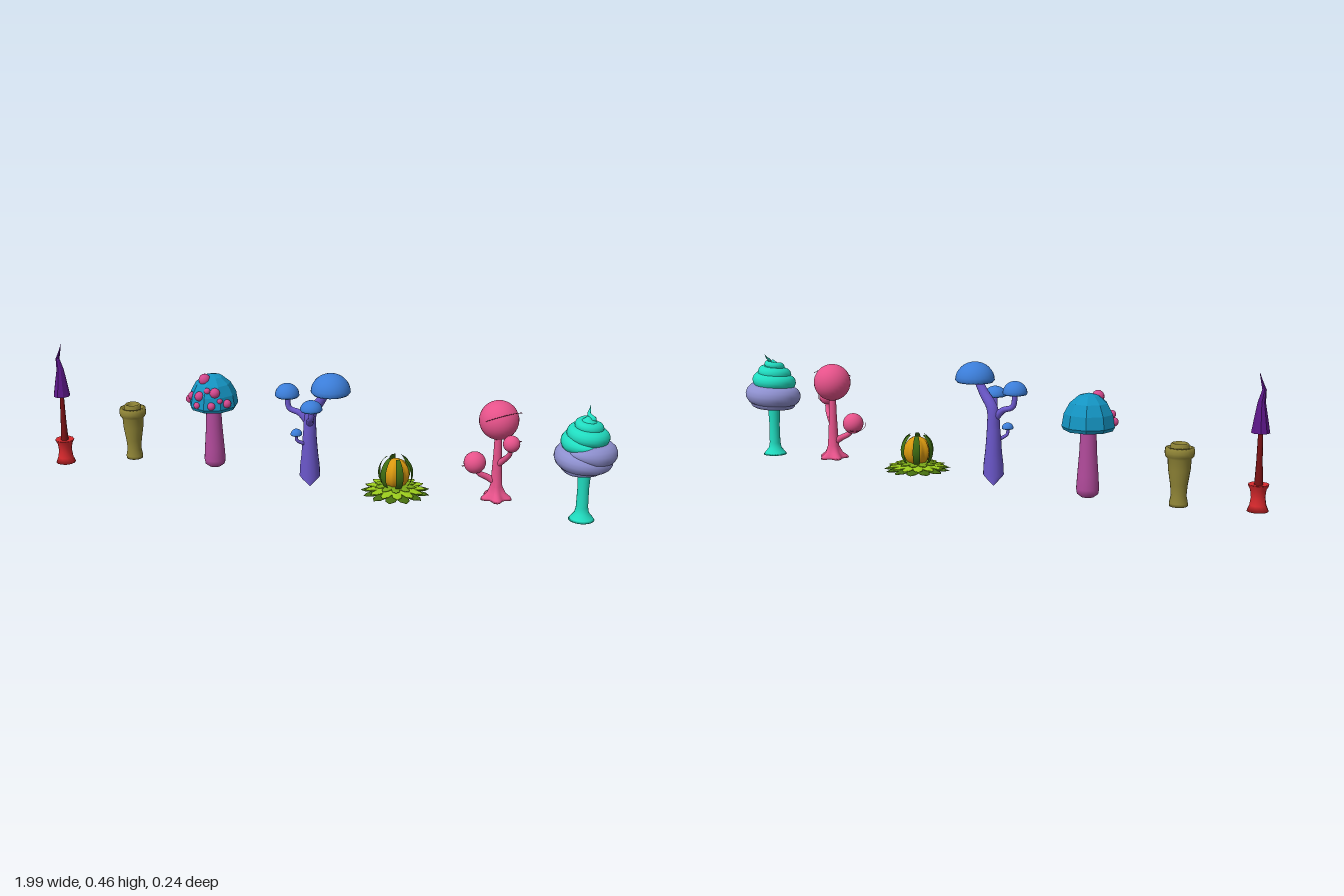
import * as THREE from 'three';

const V = (x, y, z) => new THREE.Vector3(x, y, z);
const TAU = Math.PI * 2;

function add(parent, name, geometry, color, flat = false, double = false) {
  const material = new THREE.MeshStandardMaterial({ color, flatShading: flat });
  if (double) material.side = THREE.DoubleSide;
  const mesh = new THREE.Mesh(geometry, material);
  mesh.name = name;
  parent.add(mesh);
  return mesh;
}

function plant(root, name, x, z) {
  const g = new THREE.Group();
  g.name = name;
  g.position.set(x, 0, z);
  root.add(g);
  return g;
}

// Turned shape; profile is [radius, height] pairs listed from the bottom up
const lathe = (profile, sides = 24) =>
  new THREE.LatheGeometry(profile.map(([r, y]) => new THREE.Vector2(r, y)), sides);

// Tube along a smooth path whose radius follows an evenly spaced list
function taperTube(points, radii, segs = 24, sides = 12) {
  const curve = new THREE.CatmullRomCurve3(points);
  const geo = new THREE.TubeGeometry(curve, segs, 1, sides);
  const pos = geo.attributes.position, v = V(0, 0, 0);
  for (let i = 0; i < pos.count; i++) {
    const t = Math.floor(i / (sides + 1)) / segs;
    const f = t * (radii.length - 1), k = Math.min(Math.floor(f), radii.length - 2);
    const r = THREE.MathUtils.lerp(radii[k], radii[k + 1], f - k);
    const c = curve.getPointAt(t);
    v.fromBufferAttribute(pos, i).sub(c).multiplyScalar(r).add(c);
    pos.setXYZ(i, v.x, v.y, v.z);
  }
  return geo;
}

// Points on a rising spiral
function spiral(turns, r0, r1, y0, y1, start = 0) {
  const n = Math.round(turns * 12);
  return Array.from({ length: n + 1 }, (_, i) => {
    const t = i / n, a = start + t * turns * TAU, r = THREE.MathUtils.lerp(r0, r1, t);
    return V(Math.cos(a) * r, THREE.MathUtils.lerp(y0, y1, t), Math.sin(a) * r);
  });
}

// Mushroom cap with a hollowed underside
function capGeometry(r, h, sides = 24, steps = 8) {
  const p = [[0, h * 0.2], [r * 0.6, h * 0.12], [r * 0.92, 0], [r, h * 0.1]];
  for (let i = 1; i <= steps; i++) {
    const a = (i / steps) * Math.PI / 2;
    p.push([Math.max(0, r * Math.cos(a)), h * (0.1 + 0.9 * Math.sin(a))]);
  }
  return lathe(p, sides);
}

function spire(root) {
  const g = plant(root, 'spirePlant', -0.965, 0.09);
  add(g, 'spireBase', lathe([[0, 0.01], [0.035, 0.01], [0.027, 0.03], [0.023, 0.055],
    [0.026, 0.08], [0.034, 0.095], [0.033, 0.098], [0, 0.094]], 12), 0xd6282c);
  add(g, 'spireStem', lathe([[0.014, 0.09], [0.01, 0.17], [0.007, 0.28]], 10), 0x7a1214);
  const cone = lathe([[0, 0.275], [0.03, 0.263], [0.022, 0.31], [0.013, 0.36], [0.007, 0.4],
    [0.003, 0.43], [0.0015, 0.445], [0, 0.457]], 9);
  const pos = cone.attributes.position;
  for (let i = 0; i < pos.count; i++) {
    const t = Math.max(0, (pos.getY(i) - 0.36) / 0.1);
    pos.setX(i, pos.getX(i) - 0.008 * Math.sin(t * 5));
  }
  add(g, 'spireTip', cone, 0x5c1788, true);
}

function pot(root) {
  const g = plant(root, 'potPlant', -0.737, -0.01);
  add(g, 'potBody', lathe([[0, 0.02], [0.03, 0.02], [0.03, 0.03], [0.025, 0.055], [0.028, 0.09],
    [0.036, 0.14], [0.038, 0.175], [0.046, 0.183], [0.048, 0.195], [0.046, 0.21], [0.038, 0.212],
    [0.034, 0.2], [0.03, 0.202], [0.03, 0.22], [0.025, 0.225], [0.018, 0.22], [0.014, 0.2],
    [0, 0.2]], 20), 0x8f8436);
}

function spottedMushroom(root) {
  const g = plant(root, 'spottedMushroom', -0.43, -0.037);
  add(g, 'spottedStem', lathe([[0, 0.016], [0.022, 0.018], [0.035, 0.028], [0.038, 0.045],
    [0.035, 0.09], [0.029, 0.17], [0.025, 0.27]], 20), 0xb04a9a);
  add(g, 'spottedCap', capGeometry(0.088, 0.122, 9, 4), 0x1494c2, true).position.y = 0.241;
  // Spots at [x, height on the cap, radius], all on the front
  const spots = [[-0.018, 0.348, 0.021], [0.032, 0.312, 0.018], [-0.022, 0.298, 0.017],
    [-0.06, 0.29, 0.014], [-0.078, 0.27, 0.015], [0.025, 0.268, 0.014], [0.07, 0.272, 0.015],
    [-0.03, 0.265, 0.012], [0.005, 0.318, 0.011], [0.05, 0.285, 0.01]];
  for (const [x, y, r] of spots) {
    const s = (y - 0.25) / 0.11, ring = 0.085 * Math.sqrt(Math.max(0, 1 - s * s));
    add(g, 'capSpot', new THREE.SphereGeometry(r, 12, 8), 0xd4488e)
      .position.set(x, y, Math.sqrt(Math.max(0, ring * ring - x * x)) - 0.003);
  }
}

function branchingMushroom(root) {
  const g = plant(root, 'branchingMushroom', -0.055, 0);
  const c = 0x6c58cc;
  add(g, 'mushroomTrunk', taperTube([V(0, 0, 0), V(0, 0.015, 0), V(0, 0.1, 0), V(0, 0.2, 0),
    V(0.005, 0.27, 0), V(0.04, 0.32, 0.005), V(0.077, 0.38, 0.012)],
    [0, 0.036, 0.034, 0.029, 0.026, 0.023, 0.021, 0.019, 0.017, 0.015, 0.013], 48, 16), c);
  const branches = [
    [V(0, 0.23, 0), V(-0.035, 0.267, 0), V(-0.073, 0.283, 0.003), V(-0.08, 0.335, 0.005)],
    [V(0, 0.23, 0), V(0.012, 0.255, 0.03), V(0.025, 0.275, 0.053), V(0.027, 0.315, 0.06)],
    [V(0, 0.155, 0), V(-0.022, 0.168, 0.022), V(-0.036, 0.18, 0.032), V(-0.037, 0.205, 0.033)],
  ];
  branches.forEach((p, i) => add(g, 'mushroomBranch',
    taperTube(p, i < 2 ? [0.014, 0.01, 0.009] : [0.009, 0.006, 0.005], 20, 10), c));
  // Caps at [x, y, z, radius, height]
  const caps = [[0.08, 0.355, 0.012, 0.068, 0.069], [-0.08, 0.325, 0.005, 0.042, 0.046],
    [0.027, 0.302, 0.06, 0.038, 0.036], [-0.037, 0.198, 0.033, 0.02, 0.022]];
  for (const [x, y, z, r, h] of caps)
    add(g, 'mushroomCap', capGeometry(r, h), 0x3b7dd8).position.set(x, y, z);
}

function flower(root) {
  const g = plant(root, 'podFlower', 0.255, 0);
  // Two rings of petals that droop towards the tips
  const petals = [[13, 0.12, 0.028, 0.024, 0x47700f, 0], [13, 0.108, 0.038, 0.02, 0x9acb1c, 0.24],
    [10, 0.075, 0.046, 0.017, 0x7aa818, 0]];
  for (const [n, reach, y, w, color, turn] of petals) {
    for (let i = 0; i < n; i++) {
      const geo = new THREE.SphereGeometry(1, 8, 6);
      geo.scale(reach / 2, 0.004, w);
      geo.translate(reach / 2, 0, 0);
      geo.rotateZ(-0.06);
      const m = add(g, 'petal', geo, color);
      m.position.y = y + 0.004;
      m.rotation.y = turn + (i / n) * TAU;
    }
  }
  // Ribbed pod
  const pod = new THREE.SphereGeometry(0.048, 48, 16), pos = pod.attributes.position;
  for (let i = 0; i < pos.count; i++) {
    const k = 0.95 + 0.06 * Math.cos(8 * Math.atan2(pos.getZ(i), pos.getX(i)));
    pos.setXYZ(i, pos.getX(i) * k, pos.getY(i) * 1.1, pos.getZ(i) * k);
  }
  pod.computeVertexNormals();
  add(g, 'pod', pod, 0xd9980f).position.y = 0.09;
  // Curved leaves around the pod
  for (let i = 0; i < 6; i++) {
    const leaf = new THREE.SphereGeometry(0.06, 4, 12, -0.22, 0.44, 0.16 * Math.PI, 0.74 * Math.PI);
    leaf.scale(1, 1.08, 1);
    const m = add(g, 'podLeaf', leaf, 0x3d6b12, false, true);
    m.position.y = 0.093;
    m.rotation.y = (i / 6) * TAU;
  }
}

function ballTree(root) {
  const g = plant(root, 'ballTree', 0.597, -0.03);
  const c = 0xe6528a;
  // Trunk with a lobed foot
  const trunk = lathe([[0, 0.036], [0.046, 0.034], [0.044, 0.042], [0.03, 0.055], [0.02, 0.08],
    [0.017, 0.13], [0.014, 0.19], [0.012, 0.26]], 40);
  const pos = trunk.attributes.position;
  for (let i = 0; i < pos.count; i++) {
    const lobe = Math.max(0, (0.08 - pos.getY(i)) / 0.045);
    const k = 1 + 0.2 * lobe * Math.cos(5 * Math.atan2(pos.getZ(i), pos.getX(i)));
    pos.setX(i, pos.getX(i) * k);
    pos.setZ(i, pos.getZ(i) * k);
  }
  trunk.computeVertexNormals();
  add(g, 'ballTrunk', trunk, c);
  add(g, 'ballBranch', taperTube([V(0, 0.09, 0), V(-0.03, 0.11, 0.01), V(-0.055, 0.125, 0.022),
    V(-0.07, 0.15, 0.025)], [0.013, 0.008], 16, 10), c);
  add(g, 'ballBranch', taperTube([V(0, 0.155, 0), V(0.025, 0.18, 0.015), V(0.045, 0.205, 0.03),
    V(0.053, 0.235, 0.04)], [0.012, 0.007], 16, 10), c);
  // Balls, each with a fine curled tendril
  const balls = [[0, 0.312, 0, 0.066], [-0.07, 0.163, 0.027, 0.037], [0.053, 0.248, 0.04, 0.028]];
  balls.forEach(([x, y, z, r], i) => {
    add(g, 'ball', new THREE.SphereGeometry(r, 28, 18), c).position.set(x, y, z);
    const t = add(g, 'tendril', new THREE.TorusGeometry(r * 1.2, 0.001, 4, 24, 2), 0xb03a68);
    t.position.set(x, y, z);
    t.rotation.set(1.2, 0.4, i * 2.4);
  });
}

function swirlTree(root) {
  const g = plant(root, 'swirlTree', 0.89, 0);
  const c = 0x20dcc0;
  add(g, 'swirlStem', lathe([[0, 0.01], [0.043, 0.011], [0.038, 0.018], [0.024, 0.035],
    [0.02, 0.055], [0.019, 0.12], [0.022, 0.175], [0.024, 0.21]], 24), c);
  add(g, 'swirlCore', lathe([[0, 0.185], [0.055, 0.19], [0.068, 0.25], [0.06, 0.3], [0.035, 0.345],
    [0, 0.37]], 24), c);
  add(g, 'swirlBand', taperTube(spiral(2.3, 0.06, 0.068, 0.192, 0.258, 0.5),
    [0.006, 0.019, 0.02, 0.022, 0.028, 0.034, 0.037, 0.038, 0.037, 0.033, 0.005], 110, 14), 0x8e90cf);
  const top = spiral(2.8, 0.06, 0.018, 0.275, 0.358, 1);
  top.push(V(0, 0.37, -0.02), V(0, 0.382, -0.036), V(0, 0.395, -0.047));
  add(g, 'swirlTop', taperTube(top,
    [0.008, 0.027, 0.028, 0.028, 0.027, 0.026, 0.024, 0.021, 0.017, 0.012, 0], 120, 14), c);
}

export function createModel() {
  const root = new THREE.Group();
  root.name = 'fantasyPlants';
  [spire, pot, spottedMushroom, branchingMushroom, flower, ballTree, swirlTree]
    .forEach((build) => build(root));
  return root;
}
